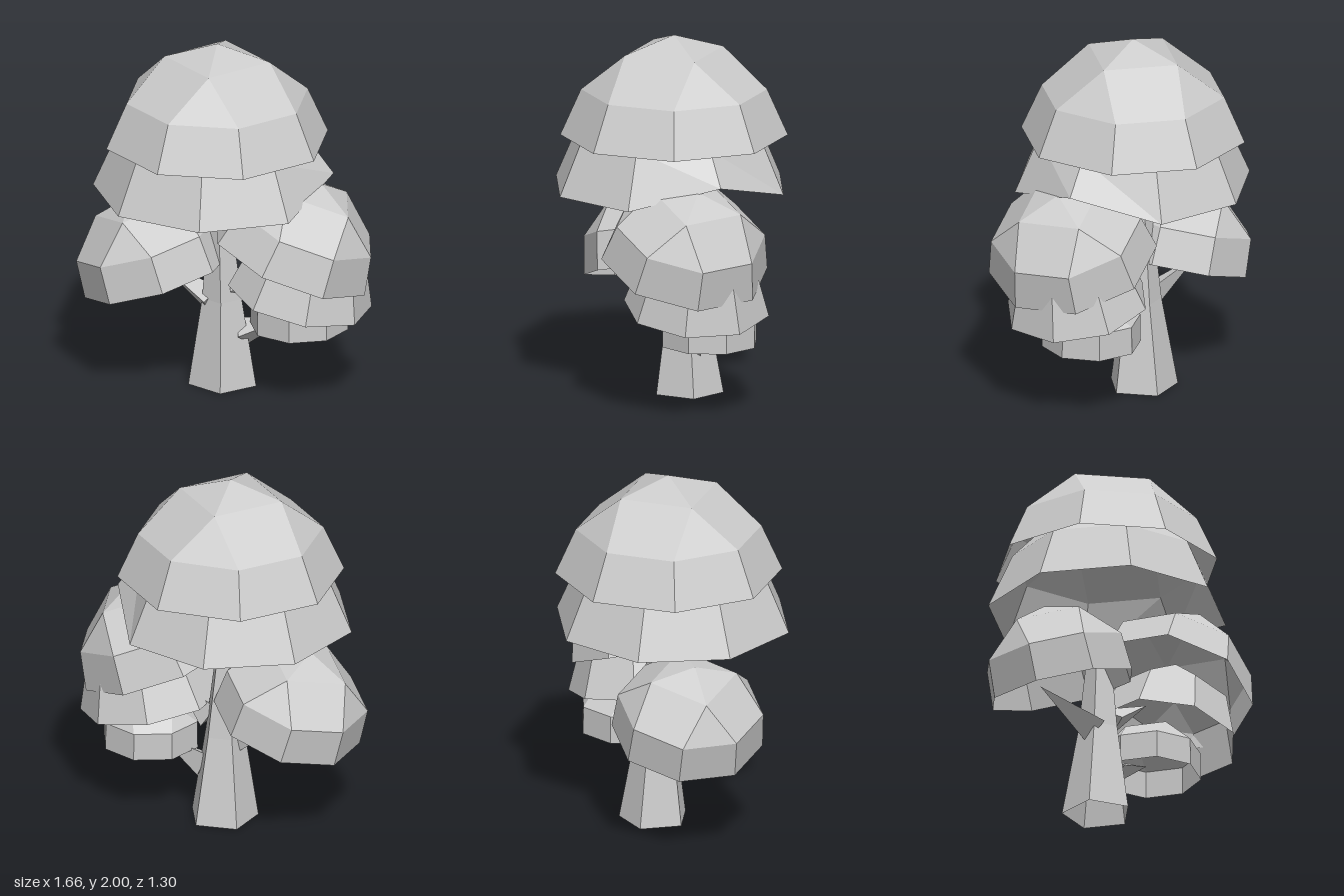
import * as THREE from 'three';

const leafMat = new THREE.MeshStandardMaterial({ color: 0xcccccc, flatShading: true, side: THREE.DoubleSide });
const barkMat = new THREE.MeshStandardMaterial({ color: 0xcccccc, flatShading: true, side: THREE.DoubleSide });

// Ring of points around the y axis; angles run from +x toward +z, in degrees
function ring(sides, radius, y, phase, cx = 0, cz = 0) {
  return Array.from({ length: sides }, (_, i) => {
    const a = THREE.MathUtils.degToRad(phase + (i * 360) / sides);
    return new THREE.Vector3(cx + radius * Math.cos(a), y, cz + radius * Math.sin(a));
  });
}

function meshFrom(points, name, material) {
  const geo = new THREE.BufferGeometry().setFromPoints(points);
  geo.computeVertexNormals();
  const mesh = new THREE.Mesh(geo, material);
  mesh.name = name;
  return mesh;
}

// Quads between two rings with the same number of points
function band(out, lower, upper) {
  const n = lower.length;
  for (let i = 0; i < n; i++) {
    const j = (i + 1) % n;
    out.push(lower[i], upper[i], upper[j], lower[i], upper[j], lower[j]);
  }
}

// Open leaf dome: eight-sided skirt and shoulder, four-sided crown, apex.
// rim, shoulder and crown are [radius, height]; the origin is the rim centre.
// lift raises the first rim corner.
function dome({ name, rim, shoulder, crown, top, phase, pos, tiltX = 0, tiltZ = 0, lift = 0 }) {
  const low = ring(8, rim[0], rim[1], phase);
  const mid = ring(8, shoulder[0], shoulder[1], phase);
  const high = ring(4, crown[0], crown[1], phase + 22.5);
  const apex = new THREE.Vector3(0, top, 0);
  low[0].y += lift;
  const pts = [];
  band(pts, low, mid);
  for (let i = 0; i < 4; i++) {
    const a = mid[2 * i], b = mid[2 * i + 1], c = mid[(2 * i + 2) % 8];
    const h = high[i], k = high[(i + 1) % 4];
    pts.push(a, h, b, b, h, k, b, k, c, h, apex, k);
  }
  const mesh = meshFrom(pts, name, leafMat);
  mesh.position.set(...pos);
  mesh.rotation.set(tiltX, 0, tiltZ);
  return mesh;
}

// Tapered five-sided trunk, open at the base
function trunk() {
  const base = ring(5, 0.195, 0, 5, -0.06, -0.097);
  const waist = ring(5, 0.114, 0.5, 5, -0.06, -0.085);
  const tip = ring(5, 0.066, 0.98, 5, -0.07, -0.07);
  const pts = [];
  band(pts, base, waist);
  band(pts, waist, tip);
  for (let i = 1; i < 4; i++) pts.push(tip[0], tip[i + 1], tip[i]);
  return meshFrom(pts, 'trunk', barkMat);
}

// Three-sided spike from the trunk to a leaf dome
function branch(name, from, to, radius) {
  const a = new THREE.Vector3(...from), b = new THREE.Vector3(...to);
  const dir = b.clone().sub(a);
  const mesh = new THREE.Mesh(new THREE.ConeGeometry(radius, dir.length(), 3), barkMat);
  mesh.name = name;
  mesh.position.copy(a).add(b).multiplyScalar(0.5);
  mesh.quaternion.setFromUnitVectors(new THREE.Vector3(0, 1, 0), dir.normalize());
  return mesh;
}

export function createModel() {
  const tree = new THREE.Group();
  tree.name = 'tree';
  tree.add(
    trunk(),
    branch('lowerLeftBranch', [0.05, 0.3, -0.09], [0.33, 0.42, -0.11], 0.088),
    branch('upperLeftBranch', [0.02, 0.58, -0.07], [0.26, 0.74, -0.04], 0.088),
    branch('rightBranch', [-0.12, 0.48, -0.06], [-0.46, 0.65, -0.14], 0.09),
  );

  // Two nested canopies on top
  tree.add(
    dome({ name: 'topCanopy', rim: [0.62, 0], shoulder: [0.507, 0.255], crown: [0.29, 0.47], top: 0.56,
      phase: -31, pos: [-0.07, 1.44, -0.02] }),
    dome({ name: 'lowerCanopy', rim: [0.66, 0], shoulder: [0.525, 0.31], crown: [0.3, 0.54], top: 0.62,
      phase: -11, pos: [-0.085, 1.155, 0], lift: 0.125 }),
  );

  // Single dome on the right side
  tree.add(dome({ name: 'rightFoliage', rim: [0.415, 0], shoulder: [0.4, 0.212], crown: [0.245, 0.4], top: 0.475,
    phase: -22.5, pos: [-0.41, 0.607, -0.02], tiltZ: 0.31 }));

  // Stack of three domes on the left side
  tree.add(
    dome({ name: 'leftFoliageTop', rim: [0.465, 0], shoulder: [0.415, 0.215], crown: [0.25, 0.4], top: 0.465,
      phase: 2, pos: [0.365, 0.825, 0.03], tiltX: -0.09, tiltZ: -0.365 }),
    dome({ name: 'leftFoliageMiddle', rim: [0.4, 0], shoulder: [0.32, 0.25], crown: [0.19, 0.37], top: 0.41,
      phase: 22.5, pos: [0.4, 0.58, -0.03], tiltZ: -0.2 }),
    dome({ name: 'leftFoliageBottom', rim: [0.272, 0], shoulder: [0.27, 0.155], crown: [0.16, 0.27], top: 0.31,
      phase: -6, pos: [0.37, 0.37, -0.11] }),
  );
  return tree;
}
